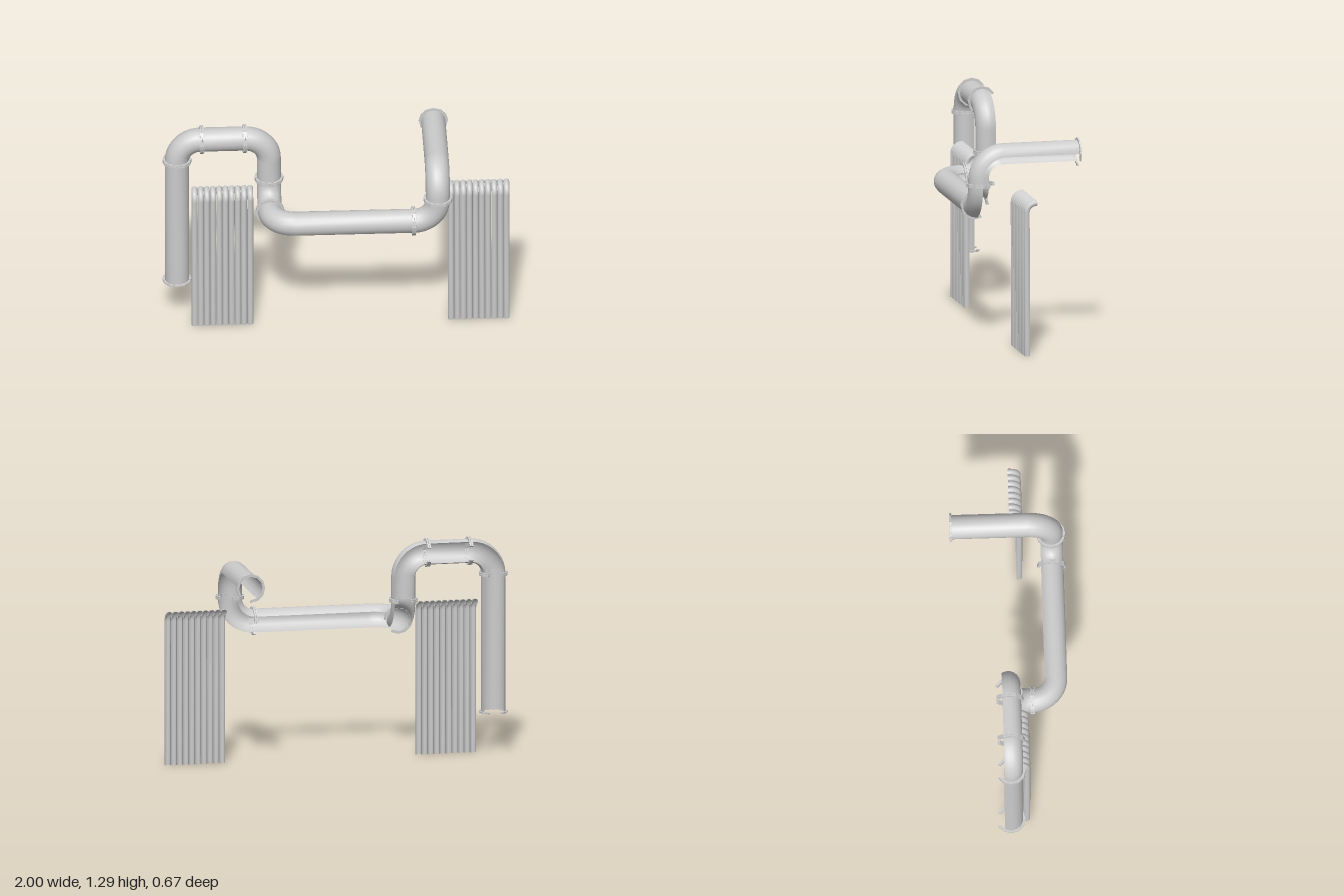
import * as THREE from 'three';

const V = (x, y, z) => new THREE.Vector3(x, y, z);
const material = new THREE.MeshStandardMaterial({ color: 0xcccccc, side: THREE.DoubleSide });

// Samples a polyline whose corners are rounded by circular bends
function roundedPath(points, bend, steps) {
  const out = [{ p: points[0], t: points[1].clone().sub(points[0]).normalize() }];
  for (let i = 1; i < points.length - 1; i++) {
    const a = points[i].clone().sub(points[i - 1]).normalize();
    const b = points[i + 1].clone().sub(points[i]).normalize();
    const turn = a.angleTo(b);
    const radius = bend / Math.tan(turn / 2) ;
    const inward = b.clone().addScaledVector(a, -a.dot(b)).normalize();
    const start = points[i].clone().addScaledVector(a, -bend);
    for (let s = 0; s <= steps; s++) {
      const w = (turn * s) / steps;
      out.push({
        p: start.clone().addScaledVector(a, radius * Math.sin(w)).addScaledVector(inward, radius * (1 - Math.cos(w))),
        t: a.clone().multiplyScalar(Math.cos(w)).addScaledVector(inward, Math.sin(w)),
      });
    }
  }
  const n = points.length;
  out.push({ p: points[n - 1], t: points[n - 1].clone().sub(points[n - 2]).normalize() });
  return out;
}

// Open pipe shell: a round section with a slot, swept along a path
function openPipe(points, bend, radius, gapDir, halfGap, sides, steps) {
  const path = roundedPath(points, bend, steps);
  const pos = [], index = [];
  const g = gapDir.clone().normalize();
  path.forEach(({ p, t }, i) => {
    if (i) g.applyQuaternion(new THREE.Quaternion().setFromUnitVectors(path[i - 1].t, t));
    const side = t.clone().cross(g);
    for (let j = 0; j <= sides; j++) {
      const a = halfGap + ((2 * Math.PI - 2 * halfGap) * j) / sides;
      const v = p.clone().addScaledVector(g, radius * Math.cos(a)).addScaledVector(side, radius * Math.sin(a));
      pos.push(v.x, v.y, v.z);
      if (i && j) {
        const d = i * (sides + 1) + j, c = d - 1, b = d - sides - 1, e = b - 1;
        index.push(e, b, c, b, d, c);
      }
    }
  });
  const geo = new THREE.BufferGeometry();
  geo.setAttribute('position', new THREE.Float32BufferAttribute(pos, 3));
  geo.setIndex(index);
  geo.computeVertexNormals();
  return geo;
}

// Split collar plate, twelve-sided with two sides left open
function plateGeometry(thickness) {
  const at = (r, k) => new THREE.Vector2(r * Math.cos((k * Math.PI) / 6), r * Math.sin((k * Math.PI) / 6));
  const outline = [];
  for (let k = 1; k <= 11; k++) outline.push(at(0.084, k));
  for (let k = 11; k >= 1; k--) outline.push(at(0.069, k));
  return new THREE.ExtrudeGeometry(new THREE.Shape(outline), { depth: thickness, bevelEnabled: false })
    .translate(0, 0, -thickness / 2);
}
const plate = plateGeometry(0.009);
const bolt = new THREE.CylinderGeometry(0.004, 0.004, 1, 6).rotateX(Math.PI / 2);

// Flange: one plate at a pipe end, or a bolted pair at a joint
function flange(name, position, tangent, gapDir, paired) {
  const group = new THREE.Group();
  group.name = name;
  for (const z of paired ? [-0.0055, 0.0055] : [0]) {
    const mesh = new THREE.Mesh(plate, material);
    mesh.name = 'collarPlate';
    mesh.position.z = z;
    group.add(mesh);
  }
  for (let k = 1; k < 11; k++) {
    const a = ((k + 0.5) * Math.PI) / 6;
    const mesh = new THREE.Mesh(bolt, material);
    mesh.name = 'bolt';
    mesh.scale.z = paired ? 0.026 : 0.015;
    mesh.position.set(0.075 * Math.cos(a), 0.075 * Math.sin(a), 0);
    group.add(mesh);
  }
  const g = gapDir.clone().normalize();
  group.quaternion.setFromRotationMatrix(new THREE.Matrix4().makeBasis(g, tangent.clone().cross(g), tangent));
  group.position.copy(position);
  return group;
}

export function createModel() {
  const model = new THREE.Group();
  model.name = 'pipework';
  const add = (name, geo) => {
    const mesh = new THREE.Mesh(geo, material);
    mesh.name = name;
    model.add(mesh);
  };
  const X = V(1, 0, 0), Y = V(0, 1, 0), Z = V(0, 0, 1), back = V(0, 0, -1);
  const c = Math.cos(Math.PI / 6), s = 0.5;

  // Arched pipe on the right, open at the back
  const za = -0.027;
  add('archPipe', openPipe(
    [V(-0.915, 0.25, za), V(-0.915, 1.205, za), V(-0.385, 1.205, za), V(-0.385, 0.79, za), V(-0.385, 0.79, 0.11)],
    0.136, 0.07, back, Math.PI / 3.1, 12, 10));

  // Long cross pipe, rising and turning back on the left
  const zc = 0.248;
  add('crossPipe', openPipe(
    [V(-0.385, 0.79, 0.11), V(-0.385, 0.79, zc), V(0.577, 0.79, zc), V(0.577, 1.102, zc), V(0.577, 1.102, -0.33)],
    0.137, 0.07, V(c, -s, 0), Math.PI / 3, 12, 10));

  // Flanges: name, position, pipe direction, slot direction, bolted pair
  const flanges = [
    ['lowerEndFlange', V(-0.915, 0.255, za), Y, back, false],
    ['riserFlange', V(-0.915, 1.067, za), Y, back, true],
    ['archFlangeRight', V(-0.773, 1.205, za), X, back, true],
    ['archFlangeLeft', V(-0.525, 1.205, za), X, back, true],
    ['dropFlange', V(-0.385, 0.933, za), Y, back, true],
    ['forwardFlange', V(-0.385, 0.79, 0.112), Z, V(c, -s, 0), true],
    ['crossFlange', V(0.437, 0.79, zc), X, V(0, -s, -c), true],
    ['upturnFlange', V(0.577, 0.937, zc), Y, V(s, 0, -c), true],
    ['rearEndFlange', V(0.577, 1.102, -0.329), Z, V(s, -c, 0), false],
  ];
  for (const f of flanges) model.add(flange(...f));

  // Two banks of thin upright tubes, curled back at the top
  const tube = openPipe([V(0, 0, 0.068), V(0, 0.894, 0.07), V(0, 0.894, 0.012)],
    0.05, 0.018, back, Math.PI / 5, 8, 6);
  for (const [name, x0] of [['tubeBankRight', -0.835], ['tubeBankLeft', 0.643]]) {
    const bank = new THREE.Group();
    bank.name = name;
    for (let i = 0; i < 10; i++) {
      const mesh = new THREE.Mesh(tube, material);
      mesh.name = 'uprightTube';
      mesh.position.x = x0 + 0.018 + i * 0.0356;
      bank.add(mesh);
    }
    model.add(bank);
  }
  return model;
}
